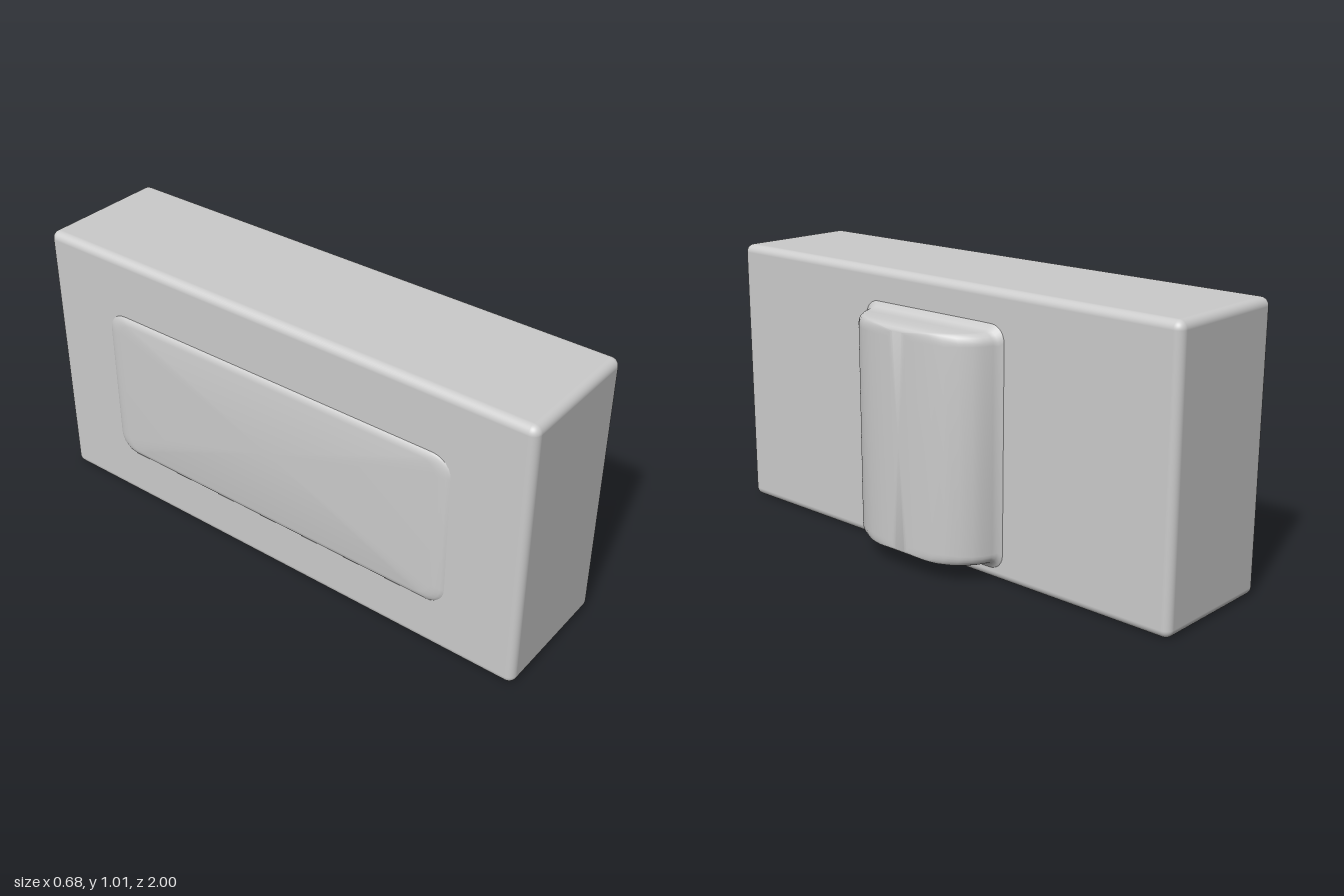
import * as THREE from 'three';
import { RoundedBoxGeometry } from 'three/addons/geometries/RoundedBoxGeometry.js';
import { toCreasedNormals } from 'three/addons/utils/BufferGeometryUtils.js';

const material = new THREE.MeshStandardMaterial({ color: 0xcccccc });

// Lofts rounded rectangles along z; each layer is [z, halfWidth, halfHeight, cornerRadius].
function loftPad(layers, steps = 6) {
  const positions = [], index = [];
  const count = 4 * (steps + 1);
  for (const [z, w, h, r] of layers) {
    for (let corner = 0; corner < 4; corner++) {
      const sx = corner === 0 || corner === 3 ? 1 : -1;
      const sy = corner < 2 ? 1 : -1;
      for (let i = 0; i <= steps; i++) {
        const a = (corner + i / steps) * Math.PI / 2;
        positions.push(sx * (w - r) + r * Math.cos(a), sy * (h - r) + r * Math.sin(a), z);
      }
    }
  }
  for (let k = 0; k < layers.length - 1; k++) {
    for (let i = 0; i < count; i++) {
      const a = k * count + i, b = k * count + (i + 1) % count;
      index.push(a, b, b + count, a, b + count, a + count);
    }
  }
  // Flat outer cap
  const last = (layers.length - 1) * count, centre = layers.length * count;
  positions.push(0, 0, layers[layers.length - 1][0]);
  for (let i = 0; i < count; i++) index.push(last + i, last + (i + 1) % count, centre);

  const geometry = new THREE.BufferGeometry();
  geometry.setAttribute('position', new THREE.Float32BufferAttribute(positions, 3));
  geometry.setIndex(index);
  return toCreasedNormals(geometry, 0.75);
}

function addPart(group, name, geometry, x, y) {
  const mesh = new THREE.Mesh(geometry, material);
  mesh.name = name;
  mesh.position.set(x, y, 0);
  group.add(mesh);
  return mesh;
}

export function createModel() {
  const group = new THREE.Group();
  group.name = 'switchBlock';

  // Main block with softened edges
  addPart(group, 'body', new RoundedBoxGeometry(0.5, 1.01, 2, 5, 0.03), -0.08, 0.505);

  // Domed grip with a small fillet at its foot, facing +x
  const grip = addPart(group, 'grip', loftPad([
    [-0.01, 0.33, 0.44, 0.06],
    [0.004, 0.319, 0.42, 0.055],
    [0.014, 0.31, 0.408, 0.05],
    [0.03, 0.302, 0.402, 0.04],
    [0.06, 0.29, 0.402, 0.04],
    [0.09, 0.268, 0.402, 0.04],
    [0.12, 0.235, 0.402, 0.04],
    [0.145, 0.19, 0.401, 0.04],
    [0.158, 0.145, 0.398, 0.035],
    [0.166, 0.09, 0.392, 0.03],
    [0.169, 0.04, 0.385, 0.02],
  ]), 0.17, 0.467);
  grip.rotation.y = Math.PI / 2;

  // Shallow raised panel, facing -x
  const panel = addPart(group, 'panel', loftPad([
    [-0.01, 0.735, 0.305, 0.08],
    [0.002, 0.722, 0.293, 0.07],
    [0.006, 0.712, 0.288, 0.065],
    [0.01, 0.695, 0.28, 0.06],
    [0.012, 0.67, 0.27, 0.05],
  ]), -0.33, 0.487);
  panel.rotation.y = -Math.PI / 2;

  return group;
}
